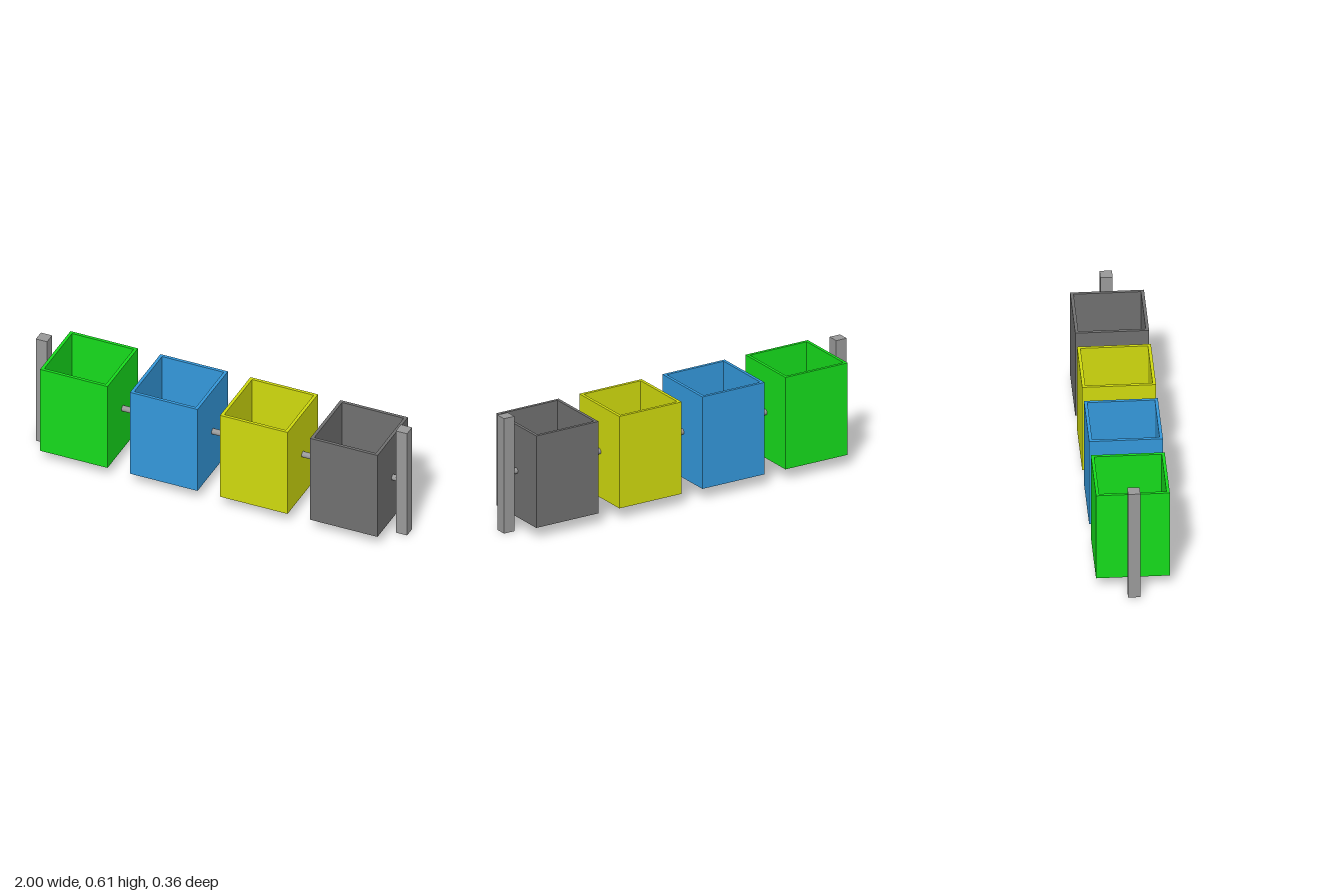
import * as THREE from 'three';

const U = 2 / 33; // one post width
const BIN_W = 6 * U, BIN_H = 8 * U, BIN_Y = U, WALL = 0.016;
const ROD_Y = 5 * U, ROD_R = 0.015;

const material = (color) => new THREE.MeshStandardMaterial({ color });

function addMesh(parent, name, geometry, mat, x = 0, y = 0, z = 0) {
  const mesh = new THREE.Mesh(geometry, mat);
  mesh.name = name;
  mesh.position.set(x, y, z);
  parent.add(mesh);
  return mesh;
}

function square(Type, size) {
  const h = size / 2;
  return new Type([[-h, -h], [h, -h], [h, h], [-h, h]].map(([x, y]) => new THREE.Vector2(x, y)));
}

// Open-topped square bin: a hollow wall ring with a floor set inside it
function createBin(name, color) {
  const bin = new THREE.Group();
  bin.name = name;
  const mat = material(color);
  const inner = BIN_W - 2 * WALL;
  const ring = square(THREE.Shape, BIN_W);
  ring.holes.push(square(THREE.Path, inner));
  const walls = new THREE.ExtrudeGeometry(ring, { depth: BIN_H, bevelEnabled: false });
  walls.rotateX(-Math.PI / 2);
  addMesh(bin, 'walls', walls, mat);
  addMesh(bin, 'floor', new THREE.BoxGeometry(inner, WALL, inner), mat, 0, WALL / 2);
  return bin;
}

export function createModel() {
  const model = new THREE.Group();
  model.name = 'binRow';
  const grey = material(0x999999);

  // End posts
  for (const [name, side] of [['rightPost', -1], ['leftPost', 1]]) {
    addMesh(model, name, new THREE.BoxGeometry(U, 10 * U, U), grey, side * 16 * U, 5 * U);
  }

  // Four bins, evenly spaced
  const bins = [['greenBin', 0x16dc1c], ['blueBin', 0x3498db], ['yellowBin', 0xd0da0e], ['greyBin', 0x707070]];
  const centers = bins.map((_, i) => (i - 1.5) * 8 * U);
  bins.forEach(([name, color], i) => {
    const bin = createBin(name, color);
    bin.position.set(centers[i], BIN_Y, 0);
    model.add(bin);
  });

  // Rod sections bridging the gaps between posts and bins
  const starts = [-15.5 * U, ...centers.map((c) => c + BIN_W / 2)];
  const ends = [...centers.map((c) => c - BIN_W / 2), 15.5 * U];
  starts.forEach((start, i) => {
    const rod = new THREE.CylinderGeometry(ROD_R, ROD_R, ends[i] - start, 24, 1, true);
    rod.rotateZ(Math.PI / 2);
    addMesh(model, 'rodSection', rod, grey, (start + ends[i]) / 2, ROD_Y);
  });

  return model;
}
